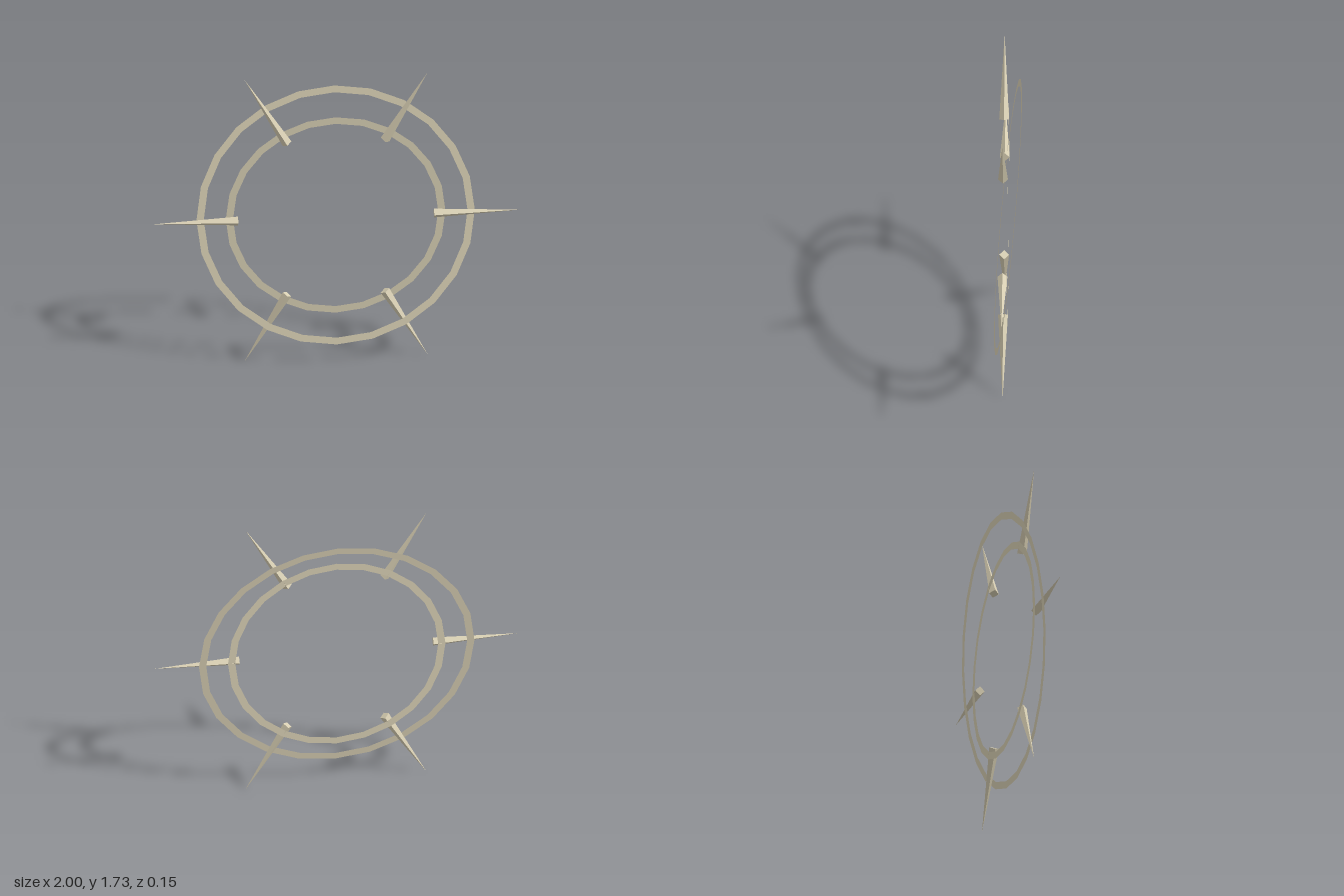
import * as THREE from 'three';

export function createModel() {
  const model = new THREE.Group();
  const centreY = Math.sin(Math.PI / 3); // lowest spike tips touch the ground
  const bone = new THREE.MeshStandardMaterial({ color: 0xd9d0b4, flatShading: true });
  const boneThin = bone.clone();
  boneThin.side = THREE.DoubleSide;

  // Flat hoops, the outer one leaning slightly back
  const addRing = (name, inner, outer, tilt) => {
    const ring = new THREE.Mesh(new THREE.RingGeometry(inner, outer, 24), boneThin);
    ring.name = name;
    ring.position.y = centreY;
    ring.rotation.x = tilt;
    model.add(ring);
  };
  addRing('outerRing', 0.72, 0.76, -0.1);
  addRing('innerRing', 0.56, 0.6, 0);

  // Six four-sided spikes pointing outwards, just in front of the hoops
  const baseRadius = 0.535, tipRadius = 1;
  const spikeGeometry = new THREE.ConeGeometry(0.027, tipRadius - baseRadius, 4);
  spikeGeometry.translate(0, (baseRadius + tipRadius) / 2, 0);
  const spikes = new THREE.Group();
  spikes.name = 'spikes';
  spikes.position.set(0, centreY, 0.024);
  for (let i = 0; i < 6; i++) {
    const spike = new THREE.Mesh(spikeGeometry, bone);
    spike.name = `spike${i + 1}`;
    spike.rotation.z = Math.PI / 6 + (i * Math.PI) / 3;
    spikes.add(spike);
  }
  model.add(spikes);
  return model;
}
